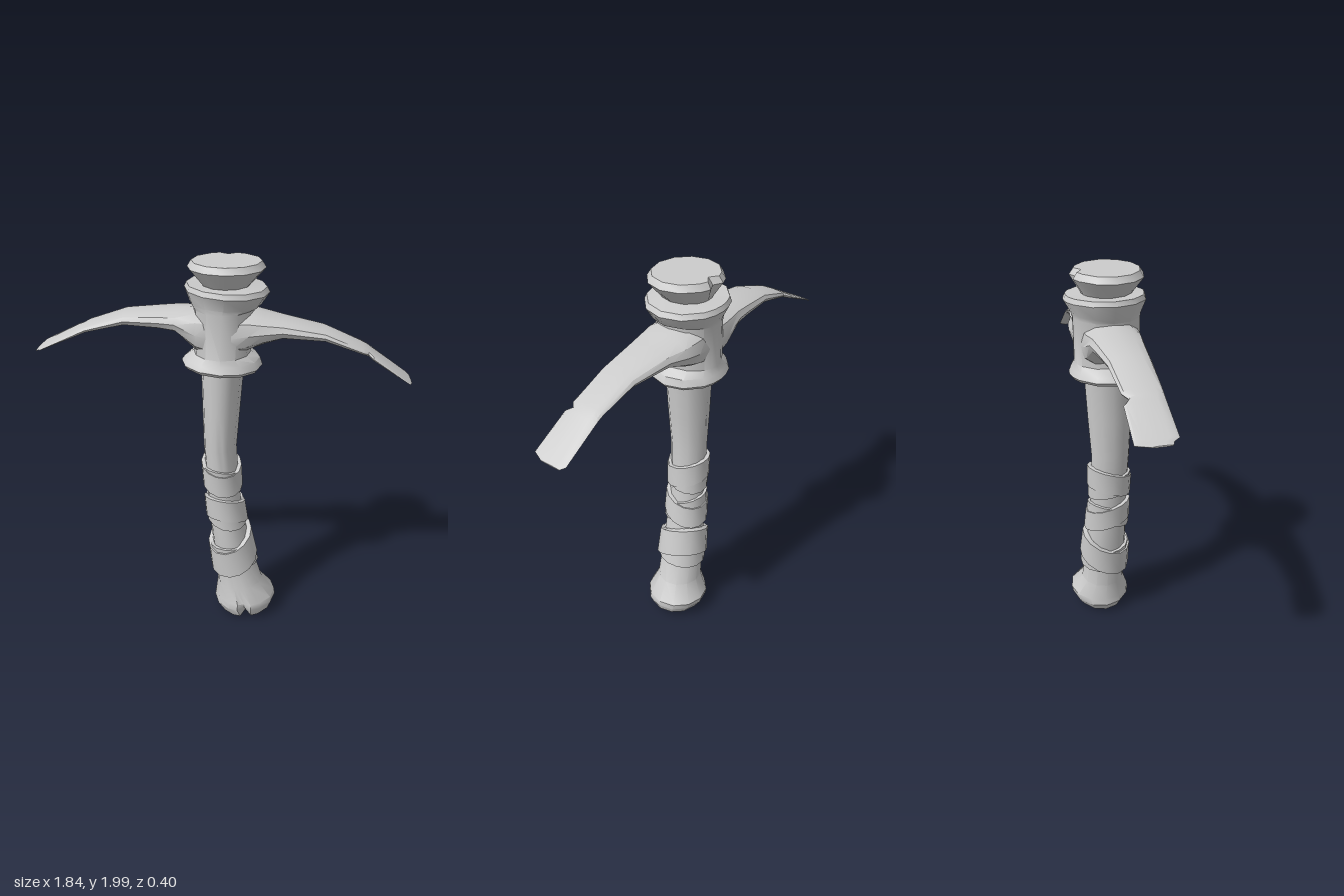
import * as THREE from 'three';
import { toCreasedNormals } from 'three/addons/utils/BufferGeometryUtils.js';

const material = new THREE.MeshStandardMaterial({ color: 0xcccccc });

// Skin a stack of equal-length rings, optionally closing both ends.
function loft(name, rings, capped = true) {
  const n = rings[0].length;
  const pos = rings.flat().flatMap((p) => [p.x, p.y, p.z]);
  const index = [];
  for (let i = 0; i < rings.length - 1; i++) {
    for (let j = 0; j < n; j++) {
      const k = (j + 1) % n;
      const a = i * n + j, b = i * n + k, c = b + n, d = a + n;
      index.push(a, d, c, a, c, b);
    }
  }
  if (capped) {
    for (const i of [0, rings.length - 1]) {
      const mid = new THREE.Vector3();
      rings[i].forEach((p) => mid.addScaledVector(p, 1 / n));
      const m = pos.length / 3;
      pos.push(mid.x, mid.y, mid.z);
      for (let j = 0; j < n; j++) {
        const a = i * n + j, b = i * n + ((j + 1) % n);
        if (i === 0) index.push(m, a, b);
        else index.push(m, b, a);
      }
    }
  }
  const geo = new THREE.BufferGeometry();
  geo.setAttribute('position', new THREE.Float32BufferAttribute(pos, 3));
  geo.setIndex(index);
  const mesh = new THREE.Mesh(toCreasedNormals(geo, 0.6), material);
  mesh.name = name;
  return mesh;
}

// Twelve angles plus a narrow pair on either side of a notch.
function notchedAngles(notch, width) {
  const list = [notch - width, notch + width];
  for (let i = 0; i < 12; i++) list.push((i * Math.PI) / 6);
  return list.sort((a, b) => a - b);
}

// Elliptical ring: row = [y, xMin, xMax, zMin, zMax, slope in x, notch depth, notch lift]
function ring([y, x0, x1, z0, z1, slope = 0, depth = 0, lift = 0], angles, notch) {
  return angles.map((t) => {
    const cut = Math.abs(t - notch) < 0.01;
    const r = cut ? 1 - depth : 1;
    const dx = ((x1 - x0) / 2) * r * Math.cos(t);
    const dz = ((z1 - z0) / 2) * r * Math.sin(t);
    return new THREE.Vector3((x0 + x1) / 2 + dx, y + slope * dx + (cut ? lift : 0), (z0 + z1) / 2 + dz);
  });
}

// Handle outline from pommel to head
const handleRows = [
  [0.022, 0.0, 0.28, -0.13, 0.135, 0.12, 0.22, 0.03],
  [0.075, -0.04, 0.3, -0.165, 0.157, 0.06, 0.14, 0.01],
  [0.11, -0.036, 0.297, -0.172, 0.155, 0.04, 0.09],
  [0.2, -0.025, 0.225, -0.115, 0.12, 0.06],
  [0.4, -0.045, 0.165, -0.105, 0.12],
  [0.6, -0.065, 0.12, -0.09, 0.115],
  [0.8, -0.08, 0.09, -0.08, 0.11],
  [1.05, -0.095, 0.075, -0.08, 0.12],
  [1.25, -0.1, 0.09, -0.095, 0.128],
  [1.52, -0.105, 0.11, -0.112, 0.133],
];

// Handle bounds at any height
function handleAt(y) {
  const i = Math.max(3, handleRows.findIndex((r) => r[0] > y) - 1);
  const a = handleRows[i], b = handleRows[i + 1];
  return a.slice(0, 5).map((v, k) => THREE.MathUtils.lerp(v, b[k], (y - a[0]) / (b[0] - a[0])));
}

// Tilted strap hugging the handle
function strap(y, height, riseX, riseZ, thickness) {
  const corners = [[-0.5, -0.02], [-0.5, thickness], [0.5, thickness], [0.5, -0.02]];
  const rings = corners.map(([s, out]) =>
    Array.from({ length: 14 }, (_, j) => {
      const t = (j * Math.PI) / 7, c = Math.cos(t), d = Math.sin(t);
      const py = y + s * height + riseX * c + riseZ * d;
      const [, x0, x1, z0, z1] = handleAt(py);
      return new THREE.Vector3(
        (x0 + x1) / 2 + ((x1 - x0) / 2 + out) * c, py,
        (z0 + z1) / 2 + ((z1 - z0) / 2 + out) * d);
    }));
  return loft('gripStrap', rings, false);
}

// Head socket with flared collars and a notched cap
const headRows = [
  [1.483, -0.185, 0.185, -0.17, 0.185, -0.04],
  [1.5, -0.2, 0.198, -0.182, 0.197, -0.04],
  [1.53, -0.185, 0.185, -0.17, 0.183],
  [1.56, -0.14, 0.14, -0.157, 0.17],
  [1.78, -0.14, 0.155, -0.16, 0.172],
  [1.8, -0.158, 0.188, -0.165, 0.172, -0.03],
  [1.862, -0.182, 0.226, -0.2, 0.2, -0.05],
  [1.886, -0.172, 0.212, -0.19, 0.19, -0.05],
  [1.89, -0.098, 0.135, -0.115, 0.13],
  [1.97, -0.166, 0.206, -0.167, 0.187, 0, 0.16],
  [2.0, -0.146, 0.186, -0.147, 0.167, 0, 0.22],
];

// Blade sections: [x, top, bottom, zMin, zMax]
const pickRows = [
  [-0.05, 1.775, 1.55, -0.14, 0.15],
  [-0.12, 1.775, 1.575, -0.14, 0.145],
  [-0.22, 1.77, 1.665, -0.133, 0.122],
  [-0.3, 1.763, 1.676, -0.126, 0.108],
  [-0.47, 1.747, 1.685, -0.113, 0.085],
  [-0.66, 1.683, 1.645, -0.104, 0.075],
  [-0.69, 1.669, 1.633, -0.08, 0.074],
  [-0.72, 1.653, 1.62, -0.11, 0.074],
  [-0.89, 1.565, 1.553, -0.118, 0.074],
  [-0.905, 1.556, 1.545, -0.118, 0.045],
  [-0.92, 1.547, 1.54, -0.05, 0.04],
];
const adzeRows = [
  [0.05, 1.775, 1.56, -0.15, 0.16],
  [0.13, 1.772, 1.585, -0.155, 0.155],
  [0.2, 1.753, 1.615, -0.145, 0.145],
  [0.29, 1.733, 1.645, -0.115, 0.13],
  [0.49, 1.692, 1.637, -0.08, 0.115],
  [0.675, 1.613, 1.58, -0.063, 0.113],
  [0.7, 1.6, 1.567, -0.061, 0.092],
  [0.72, 1.586, 1.556, -0.06, 0.12],
  [0.9, 1.457, 1.449, -0.053, 0.133],
  [0.918, 1.443, 1.438, -0.03, 0.08],
];

function blade(name, rows) {
  const dir = Math.sign(rows[0][0]);
  const soft = (v) => Math.sign(v) * Math.abs(v) ** 0.8;
  return loft(name, rows.map(([x, top, bottom, z0, z1]) =>
    Array.from({ length: 12 }, (_, j) => {
      const t = (j * Math.PI) / 6;
      return new THREE.Vector3(x,
        (top + bottom) / 2 + ((top - bottom) / 2) * soft(Math.cos(t)),
        (z0 + z1) / 2 - dir * ((z1 - z0) / 2) * soft(Math.sin(t)));
    })));
}

export function createModel() {
  const model = new THREE.Group();
  model.name = 'pickaxe';

  const front = Math.PI / 2, back = Math.PI * 1.5;
  const handleAngles = notchedAngles(front, 0.22);
  const headAngles = notchedAngles(back, 0.25);
  model.add(loft('handle', handleRows.map((r) => ring(r, handleAngles, front))));
  model.add(loft('headSocket', headRows.map((r) => ring(r, headAngles, back))));
  model.add(blade('pickBlade', pickRows), blade('adzeBlade', adzeRows));

  // Three grip wraps, each made of two crossing straps
  const grip = new THREE.Group();
  grip.name = 'gripWraps';
  [
    [0.885, 0.12, -0.01, -0.035, 0.02],
    [0.86, 0.11, -0.012, 0.02, 0.014],
    [0.67, 0.11, -0.015, -0.03, 0.014],
    [0.67, 0.12, -0.015, 0.035, 0.02],
    [0.42, 0.15, 0.045, -0.045, 0.026],
    [0.39, 0.13, 0.01, 0.01, 0.016],
  ].forEach((s) => grip.add(strap(...s)));
  model.add(grip);
  return model;
}
